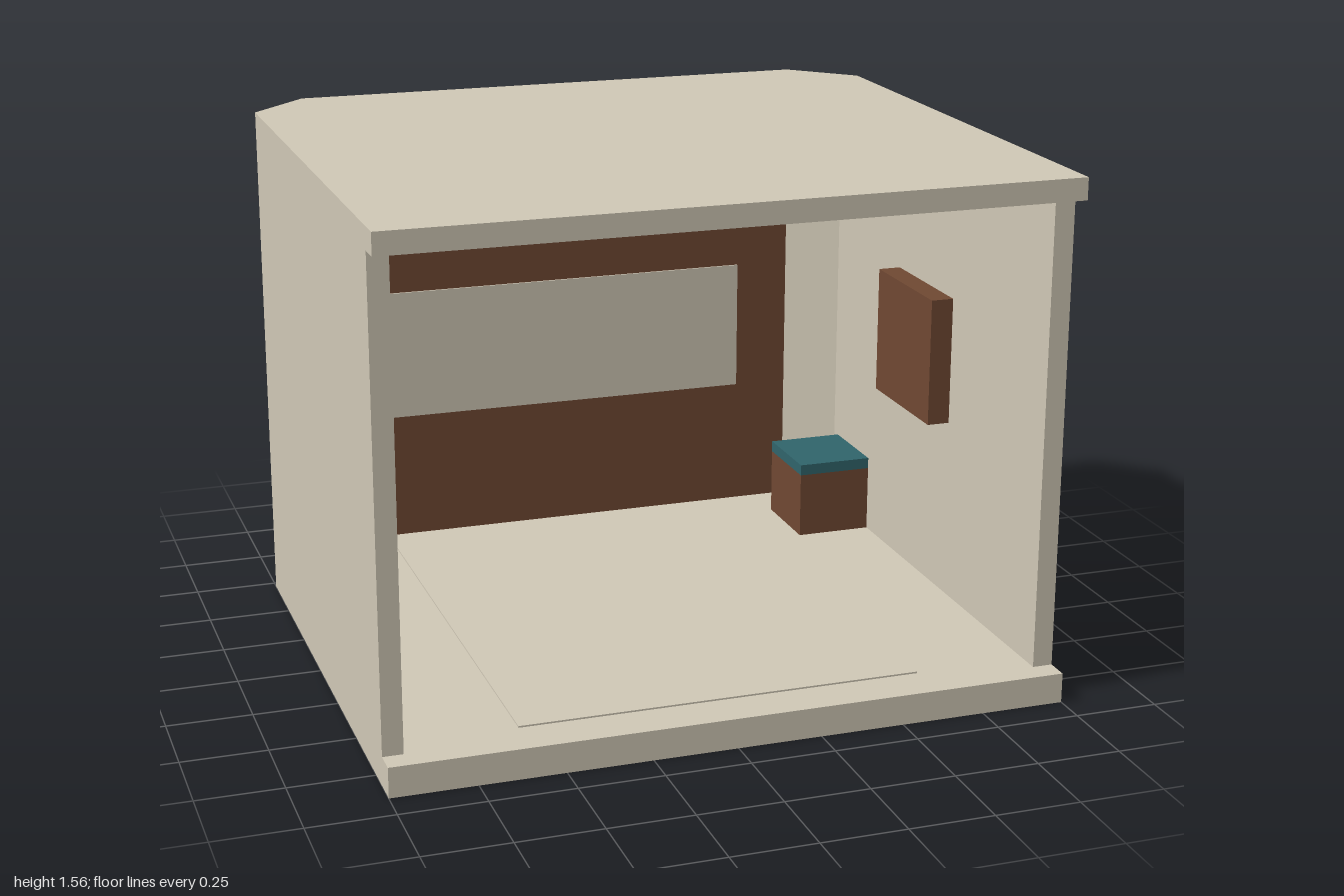
import * as THREE from 'three';

const beige = new THREE.MeshStandardMaterial({ name: 'warm beige', color: 0xcfc7b5 });
const brown = new THREE.MeshStandardMaterial({ name: 'wood brown', color: 0x6f4832 });
const teal = new THREE.MeshStandardMaterial({ name: 'teal cushion', color: 0x30646b });

const FLOOR = 0.09, CEILING = 1.495, TOP = 1.56;

// Upright prism from a plan outline of [x, z] points
function prism(name, outline, y0, y1, material) {
  const shape = new THREE.Shape(outline.map(([x, z]) => new THREE.Vector2(x, -z)));
  const geometry = new THREE.ExtrudeGeometry(shape, { depth: y1 - y0, bevelEnabled: false });
  geometry.rotateX(-Math.PI / 2).translate(0, y0, 0);
  const mesh = new THREE.Mesh(geometry, material);
  mesh.name = name;
  return mesh;
}

// Box given by its limits on each axis
function box(name, [x0, x1], [y0, y1], [z0, z1], material) {
  const mesh = new THREE.Mesh(new THREE.BoxGeometry(Math.abs(x1 - x0), y1 - y0, z1 - z0), material);
  mesh.position.set((x0 + x1) / 2, (y0 + y1) / 2, (z0 + z1) / 2);
  mesh.name = name;
  return mesh;
}

export function createModel() {
  const room = new THREE.Group();
  room.name = 'room';

  // Floor and roof slabs with clipped back corners
  const plan = [[-1, 0.9], [1, 0.9], [1, -0.72], [0.82, -0.9], [-0.82, -0.9], [-1, -0.72]];
  room.add(prism('floor', plan, 0, FLOOR, beige));
  room.add(prism('roof', plan, CEILING, TOP, beige));

  // Back wall with its display panel
  const back = [[-0.8, -0.83], [0.8, -0.83], [0.82, -0.9], [-0.82, -0.9]];
  room.add(prism('backWall', back, FLOOR, CEILING, brown));
  room.add(box('backPanel', [-0.625, 0.625], [0.5, 0.92], [-0.832, -0.824], beige));

  // Thin raised floor mat
  room.add(box('floorMat', [-0.6, 0.6], [FLOOR, 0.095], [-0.7, 0.765], beige));

  // Mirrored side walls, corner walls, stools and ceiling boxes
  for (const [s, side] of [[1, 'left'], [-1, 'right']]) {
    const flip = (points) => points.map(([x, z]) => [s * x, z]);
    const wall = [[0.94, 0.83], [1, 0.83], [1, -0.72], [0.94, -0.7]];
    const corner = [[0.94, -0.7], [1, -0.72], [0.82, -0.9], [0.8, -0.83]];
    room.add(prism(side + 'Wall', flip(wall), FLOOR, CEILING, beige));
    room.add(prism(side + 'CornerWall', flip(corner), FLOOR, CEILING, beige));

    const stool = new THREE.Group();
    stool.name = side + 'Stool';
    stool.add(box('stoolBase', [s * 0.7, s * 0.94], [FLOOR, 0.3], [-0.67, -0.405], brown));
    stool.add(box('stoolCushion', [s * 0.7, s * 0.94], [0.3, 0.335], [-0.67, -0.405], teal));
    room.add(stool);

    room.add(box(side + 'CeilingBox', [s * 0.793, s * 0.907], [1.415, CEILING], [-0.79, -0.67], brown));
  }

  // Cabinet hung on the inside of the left wall
  room.add(box('wallCabinet', [0.87, 0.94], [0.645, 1.04], [-0.2, 0.2], brown));

  return room;
}
